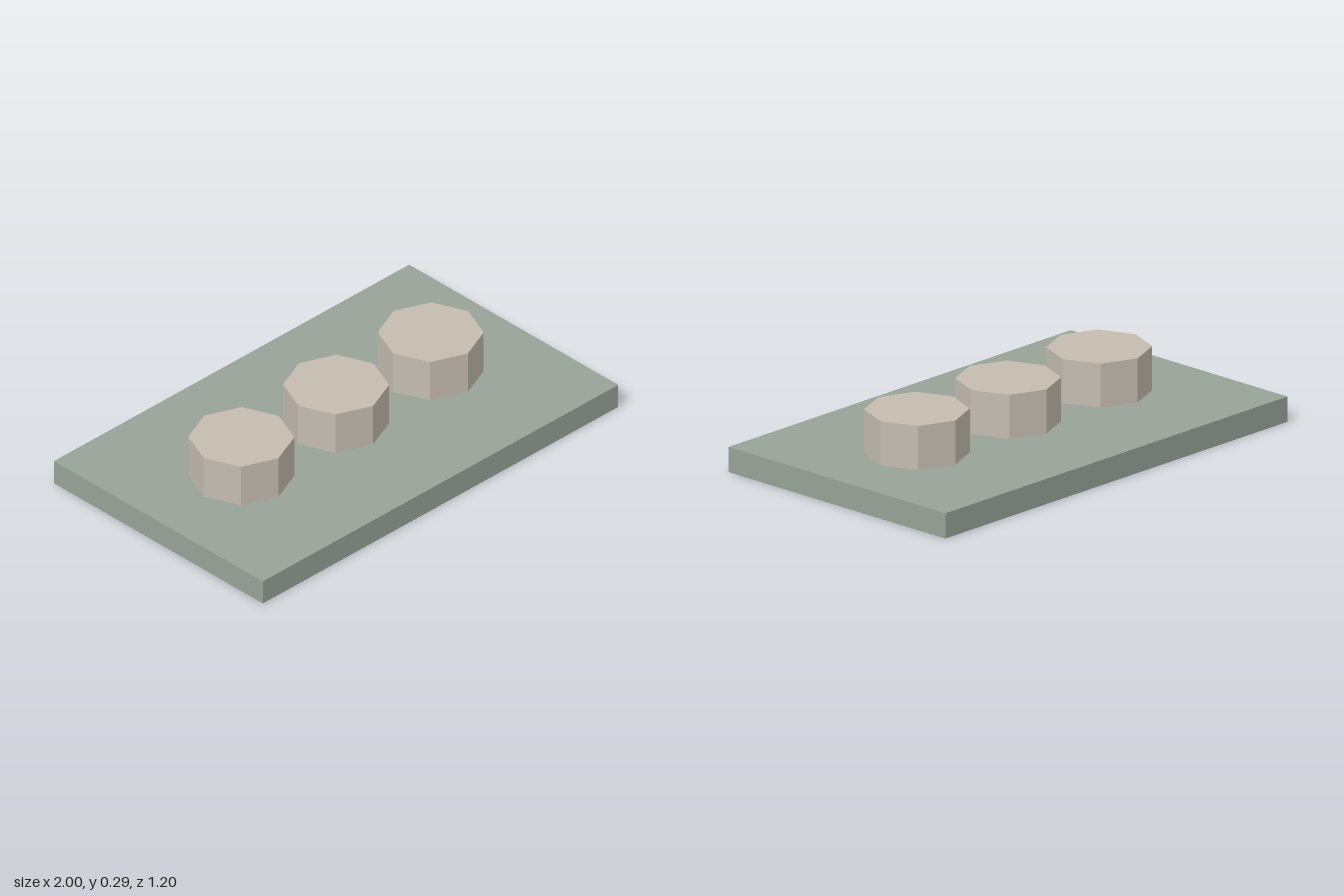
import * as THREE from 'three';

export function createModel() {
  const model = new THREE.Group();
  model.name = 'studdedPlate';

  const plateMaterial = new THREE.MeshStandardMaterial({ color: 0x98a298 });
  plateMaterial.name = 'grey green';
  const studMaterial = new THREE.MeshStandardMaterial({ color: 0xc4bcb0 });
  studMaterial.name = 'warm stone';

  // Flat base plate
  const plateHeight = 0.107;
  const plate = new THREE.Mesh(new THREE.BoxGeometry(2, plateHeight, 1.2), plateMaterial);
  plate.name = 'basePlate';
  plate.position.y = plateHeight / 2;
  model.add(plate);

  // Row of three octagonal studs, faceted by non-indexed normals
  const studHeight = 0.187;
  const studGeometry = new THREE.CylinderGeometry(0.213, 0.213, studHeight, 8).toNonIndexed();
  studGeometry.computeVertexNormals();
  ['rightStud', 'middleStud', 'leftStud'].forEach((name, i) => {
    const stud = new THREE.Mesh(studGeometry, studMaterial);
    stud.name = name;
    stud.position.set((i - 1) * 0.533, plateHeight + studHeight / 2, 0);
    model.add(stud);
  });

  return model;
}
